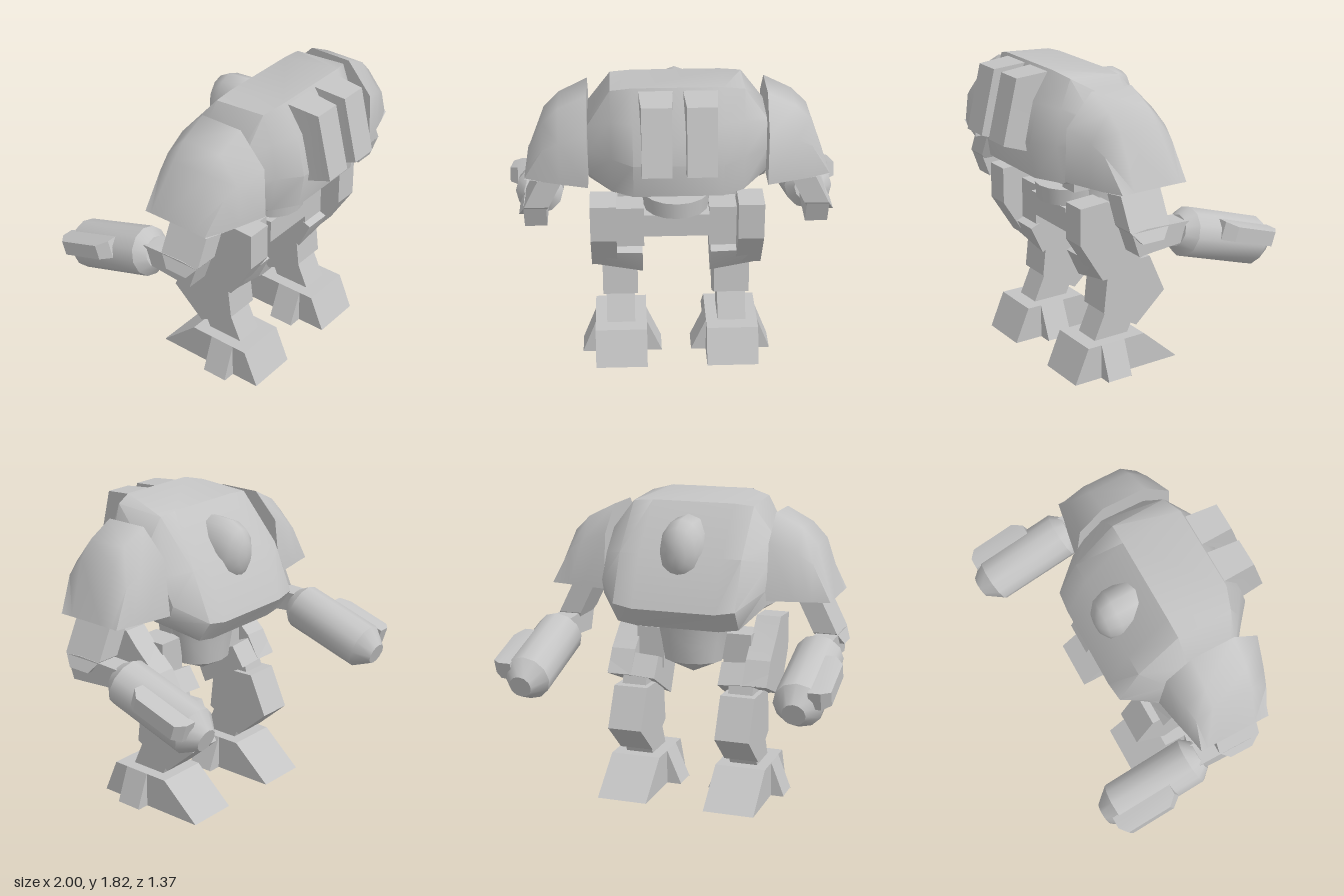
import * as THREE from 'three';
import { toCreasedNormals } from 'three/addons/utils/BufferGeometryUtils.js';

const grey = new THREE.MeshStandardMaterial({ color: 0xc4c4c4, side: THREE.DoubleSide });
grey.name = 'grey armour';

function add(parent, name, geometry) {
  const mesh = new THREE.Mesh(geometry, grey);
  mesh.name = name;
  parent.add(mesh);
  return mesh;
}

// Skin over sections [x, [[z, y], ...]] running towards +x, each clockwise seen from +x
function loft(sections, { closed = true, capStart = true, capEnd = true, crease = 0.3 } = {}) {
  const pos = [];
  const rows = sections.map(([x, pts]) => pts.map(([z, y]) => [x, y, z]));
  const n = rows[0].length;
  const tri = (...p) => p.forEach(v => pos.push(...v));
  for (let i = 0; i < rows.length - 1; i++) {
    for (let j = 0; j < (closed ? n : n - 1); j++) {
      const k = (j + 1) % n;
      const a = rows[i][j], b = rows[i][k], c = rows[i + 1][k], d = rows[i + 1][j];
      tri(a, d, c);
      tri(a, c, b);
    }
  }
  const cap = (row, flip) => {
    const mid = [0, 1, 2].map(q => row.reduce((s, p) => s + p[q], 0) / n);
    for (let j = 0; j < n; j++) {
      const k = (j + 1) % n;
      flip ? tri(mid, row[k], row[j]) : tri(mid, row[j], row[k]);
    }
  };
  if (capStart) cap(rows[0], false);
  if (capEnd) cap(rows[rows.length - 1], true);
  const g = new THREE.BufferGeometry();
  g.setAttribute('position', new THREE.Float32BufferAttribute(pos, 3));
  return toCreasedNormals(g, crease);
}

const prism = (x0, x1, profile, options) => loft([[x0, profile], [x1, profile]], options);

const lathe = (points, sides, crease) => toCreasedNormals(
  new THREE.LatheGeometry(points.map(([r, y]) => new THREE.Vector2(r, y)), sides), crease);

function box(parent, name, x0, x1, y0, y1, z0, z1) {
  const m = add(parent, name, new THREE.BoxGeometry(x1 - x0, y1 - y0, z1 - z0));
  m.position.set((x0 + x1) / 2, (y0 + y1) / 2, (z0 + z1) / 2);
  return m;
}

function buildTorso(model) {
  const mid = [[0.4, 1.82], [0.04, 1.78], [-0.2, 1.5], [-0.33, 1.2], [-0.24, 1.08],
    [0.05, 1.12], [0.3, 1.19], [0.52, 1.22], [0.55, 1.42], [0.5, 1.65]];
  const shoulder = [[0.36, 1.79], [0.04, 1.77], [-0.2, 1.5], [-0.32, 1.22], [-0.24, 1.1],
    [0.05, 1.13], [0.3, 1.18], [0.41, 1.2], [0.45, 1.42], [0.42, 1.63]];
  const end = [[0.3, 1.59], [0.04, 1.6], [-0.08, 1.47], [-0.16, 1.32], [-0.13, 1.23],
    [0.05, 1.21], [0.28, 1.23], [0.33, 1.28], [0.35, 1.42], [0.33, 1.57]];
  add(model, 'torso', loft([[-0.5, end], [-0.37, shoulder], [-0.25, mid],
    [0.25, mid], [0.37, shoulder], [0.5, end]], { crease: 0.75 }));

  // Bullet-shaped blister on the back, taller than wide
  const dome = add(model, 'backDome', lathe([[0.12, -0.04], [0.137, 0.03], [0.135, 0.16],
    [0.11, 0.23], [0.06, 0.27], [0, 0.28]], 12, 0.8));
  dome.scale.z = 1.4;
  dome.position.set(0, 1.53, 0);
  dome.rotation.x = -Math.PI / 2 - 0.05;

  // Waist and bowl-shaped pelvis
  const pelvis = add(model, 'pelvis', lathe([[0, 0.75], [0.18, 0.83], [0.2, 0.95],
    [0.22, 1.05], [0.26, 1.2]], 12, 0.7));
  pelvis.scale.z = 0.8;
  pelvis.position.z = 0.05;
  box(model, 'pelvisPanel', -0.19, 0.19, 0.83, 0.97, 0.08, 0.28);
  const belt = add(model, 'curvedBelt', new THREE.CylinderGeometry(0.2, 0.19, 0.1, 16));
  belt.position.set(0, 1.02, 0.14);
}

function buildArm(side) {
  // Hollow shoulder shell, open underneath
  const arch = (f, r, top, f2, r2) => [[f, 1.26], [f - 0.01, 1.26 + (top - 1.26) * 0.62],
    [f2, top], [r2, top], [r + 0.04, 1.26 + (top - 1.26) * 0.68], [r, 1.26]];
  add(side, 'shoulderShell', loft([
    [0.5, arch(0.48, -0.14, 1.74, 0.31, 0.05)],
    [0.66, arch(0.43, -0.11, 1.66, 0.3, 0.05)],
    [0.75, arch(0.4, -0.09, 1.57, 0.29, 0.05)],
    [0.86, arch(0.36, -0.07, 1.262, 0.27, 0.05)],
  ], { closed: false, capEnd: false, crease: 1 }));

  // Upper arm leaning outwards, with a chamfered elbow end
  const armGeometry = prism(-0.07, 0.07, [[0.31, 1.42], [0.05, 1.42], [0.05, 1.05],
    [0.11, 0.98], [0.25, 0.98], [0.31, 1.05]]);
  const v = armGeometry.attributes.position;
  for (let i = 0; i < v.count; i++) v.setX(i, v.getX(i) + 0.84 - (v.getY(i) - 0.98) * 0.5);
  add(side, 'upperArm', toCreasedNormals(armGeometry, 0.3));

  add(side, 'elbowLink', prism(0.75, 0.88, [[0.3, 1.04], [0.2, 1.05], [-0.08, 1.04],
    [-0.08, 0.92], [0, 0.92], [0.25, 0.9]]));

  // Forearm barrel sloping backwards
  const forearm = new THREE.Group();
  forearm.name = 'forearm';
  forearm.position.set(0.81, 0.97, -0.04);
  forearm.rotation.x = -Math.PI / 2 - 0.31;
  side.add(forearm);
  add(forearm, 'forearmBarrel', lathe([[0, 0], [0.09, 0], [0.142, 0.06], [0.142, 0.56],
    [0.067, 0.655], [0, 0.655]], 12, 0.6));
  // Bevelled rail set high on the outer side
  add(forearm, 'forearmRail', loft([
    [0.07, [[0.115, 0.22], [0.115, 0.6], [0.01, 0.6], [0.01, 0.22]]],
    [0.14, [[0.115, 0.22], [0.115, 0.6], [0.01, 0.6], [0.01, 0.22]]],
    [0.19, [[0.105, 0.28], [0.105, 0.56], [0.02, 0.56], [0.02, 0.28]]],
  ]));
}

function buildLeg(side) {
  // Thigh: full outer plate, lower cup and inner hip block
  add(side, 'hipPlate', prism(0.35, 0.5, [[0.38, 1.08], [0.2, 1.09], [0.12, 1],
    [-0.02, 0.87], [-0.1, 0.73], [0.17, 0.62], [0.23, 0.62], [0.38, 0.86]]));
  add(side, 'thighCup', loft([
    [0.2, [[0.28, 0.72], [-0.02, 0.84], [-0.1, 0.72], [0.2, 0.55]]],
    [0.5, [[0.3, 0.74], [-0.02, 0.86], [-0.1, 0.74], [0.22, 0.62]]],
  ]));
  box(side, 'hipBlock', 0.19, 0.36, 0.75, 1, 0.05, 0.25);
  box(side, 'hipBracket', 0.22, 0.34, 1.12, 1.2, 0.1, 0.32);

  // Knee strut, shin and ankle
  add(side, 'kneeStrut', prism(0.26, 0.41, [[0.05, 0.76], [-0.05, 0.78], [-0.1, 0.6], [0.12, 0.6]]));
  add(side, 'shin', prism(0.23, 0.44, [[0.15, 0.66], [-0.14, 0.67], [-0.25, 0.43],
    [-0.05, 0.25], [0.18, 0.38]]));
  add(side, 'ankle', prism(0.25, 0.42, [[0.16, 0.37], [-0.04, 0.3], [0.01, 0.19], [0.24, 0.19]]));

  // Hollow foot with a flare on each side
  const foot = [[0.41, 0], [0.32, 0.21], [-0.07, 0.21], [-0.31, 0]];
  add(side, 'foot', prism(0.18, 0.49, foot, { closed: false }));
  const high = [[0.23, 0], [0.23, 0.21], [0.07, 0.21], [0.07, 0]];
  const low = [[0.23, 0], [0.23, 0.005], [0.07, 0.005], [0.07, 0]];
  const open = { closed: false, capStart: false, capEnd: false };
  add(side, 'outerFootFlare', loft([[0.49, high], [0.57, low]], open));
  add(side, 'innerFootFlare', loft([[0.09, low], [0.18, high]], open));
}

// Slanted front pod whose face is narrower than its root
function buildPod(side) {
  const geometry = prism(-1, 1, [[0.6, 1.79], [0.35, 1.81], [0.4, 1.37], [0.55, 1.37], [0.69, 1.42]]);
  const v = geometry.attributes.position;
  for (let i = 0; i < v.count; i++) {
    const half = v.getZ(i) > 0.5 ? 0.082 : 0.098;
    v.setX(i, 0.122 + v.getX(i) * half);
  }
  add(side, 'frontPod', toCreasedNormals(geometry, 0.3));
}

export function createModel() {
  const model = new THREE.Group();
  model.name = 'walker';
  buildTorso(model);
  for (const s of [1, -1]) {
    const side = new THREE.Group();
    side.name = s > 0 ? 'leftSide' : 'rightSide';
    buildArm(side);
    buildLeg(side);
    buildPod(side);
    side.scale.x = s;
    model.add(side);
  }
  return model;
}
